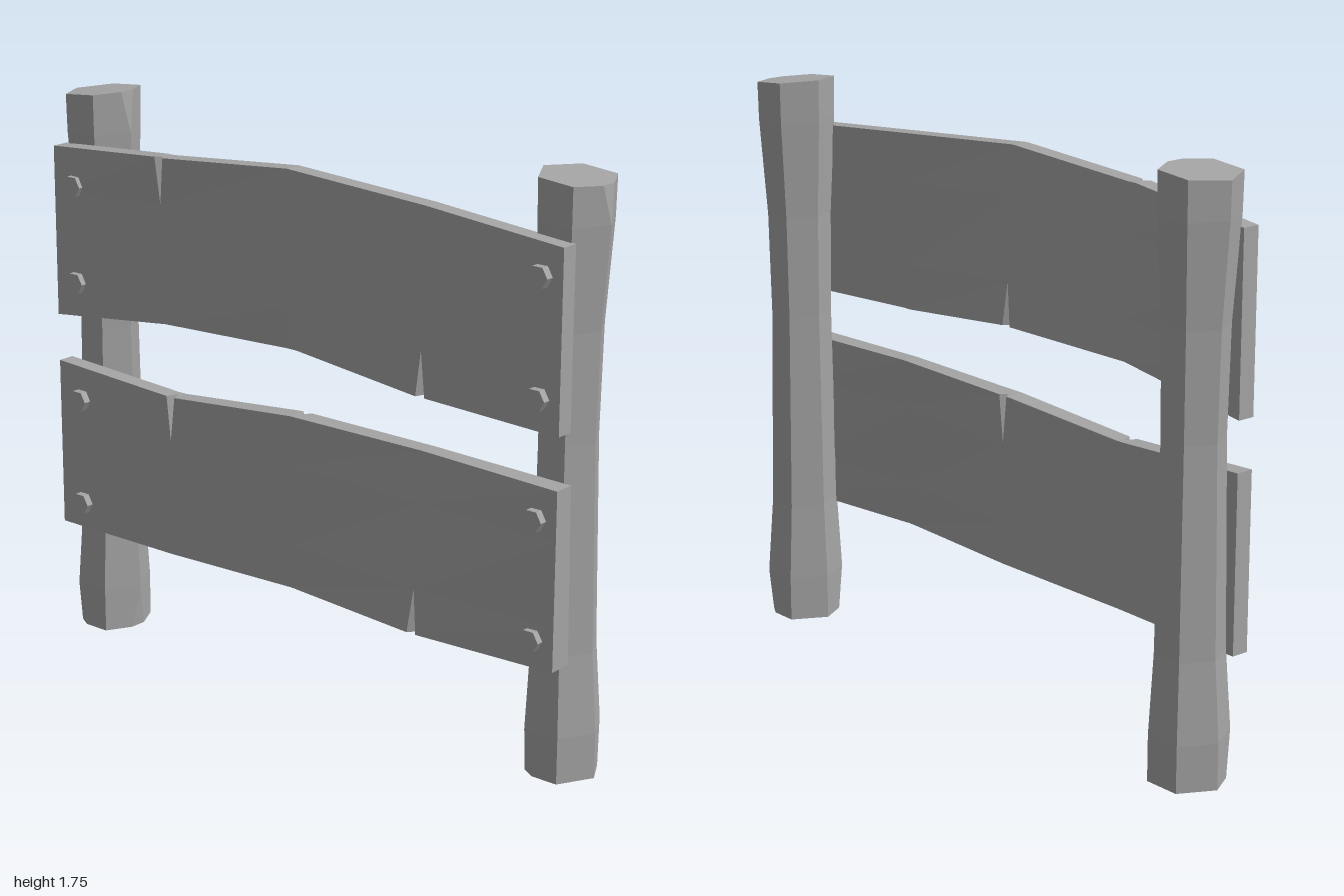
import * as THREE from 'three';

const wood = new THREE.MeshStandardMaterial({ color: 0xa4a4a4 });
wood.name = 'plain grey';

// Flat-shaded geometry from a list of [a, b, c, d] corner loops (or triangles)
function facets(faces) {
  const pos = [];
  const a = new THREE.Vector3(), b = new THREE.Vector3();
  const tri = (p, q, r) => {
    a.subVectors(q, p);
    b.subVectors(r, p);
    if (a.cross(b).length() > 1e-7) for (const v of [p, q, r]) pos.push(v.x, v.y, v.z);
  };
  for (const f of faces) {
    tri(f[0], f[1], f[2]);
    if (f[3]) tri(f[0], f[2], f[3]);
  }
  const g = new THREE.BufferGeometry();
  g.setAttribute('position', new THREE.Float32BufferAttribute(pos, 3));
  g.computeVertexNormals();
  return g;
}

function add(group, name, geometry) {
  const m = new THREE.Mesh(geometry, wood);
  m.name = name;
  group.add(m);
  return m;
}

// Six-sided waisted post; chipped corners are split in two at the end rings
function postGeometry(side, topChips, bottomChips) {
  const levels = [[0, 0.115], [0.14, 0.115], [0.38, 0.1], [1.0, 0.09], [1.32, 0.095], [1.62, 0.113], [1.74, 0.115]];
  const last = levels.length - 1;
  const rings = levels.map(([y, r], k) => {
    const corner = (i) => {
      const t = i * Math.PI / 3;
      const x = Math.cos(t) * r;
      const cx = side * (0.885 - (0.115 - r) * 0.25);
      return new THREE.Vector3(cx + x, k === last ? y - side * x * 0.09 : y, -0.045 + Math.sin(t) * r * 1.05);
    };
    const chips = k === 0 ? bottomChips : k === last ? topChips : [];
    const ring = [];
    for (let i = 0; i < 6; i++) {
      const cut = chips.includes(i) ? 0.25 : 0;
      ring.push(corner(i).lerp(corner(i + 5), cut), corner(i).lerp(corner(i + 1), cut));
    }
    return ring;
  });
  const faces = [];
  const top = rings[last], bottom = rings[0];
  const ct = new THREE.Vector3(side * 0.885, 1.74, -0.045);
  const cb = new THREE.Vector3(side * 0.885, 0, -0.045);
  for (let i = 0; i < 12; i++) {
    const j = (i + 1) % 12;
    for (let k = 0; k < last; k++) faces.push([rings[k][i], rings[k + 1][i], rings[k + 1][j], rings[k][j]]);
    faces.push([ct, top[j], top[i]], [cb, bottom[i], bottom[j]]);
  }
  return facets(faces);
}

// Warped board. Stations: [x, yTop, yBottom, frontTop, frontBottom, backTop, backBottom]
// Cracks: [station index, atTop, onFront, depth of the groove]
function plankGeometry(stations, cracks) {
  const cols = [];
  stations.forEach((s, i) => {
    const inner = i > 0 && i < stations.length - 1;
    for (const o of inner ? [-1, 0, 1] : [0]) cols.push({ s, i, o });
  });
  const rows = [0, 0.25, 0.72, 1];
  const grid = (front) => cols.map(({ s, i, o }) => rows.map((v, r) => {
    const edge = r === 0 || r === 3;
    const here = edge ? cracks.filter((c) => c[0] === i && c[1] === (r === 3)) : [];
    const x = s[0] + (here.length ? o * 0.016 : 0);
    const k = front ? 3 : 5;
    let z = THREE.MathUtils.lerp(s[k + 1], s[k], v);
    for (const c of here) if (o === 0 && c[2] === front) z += front ? -c[3] : c[3];
    return new THREE.Vector3(x, THREE.MathUtils.lerp(s[2], s[1], v), z);
  }));
  const F = grid(true), B = grid(false), n = cols.length - 1, faces = [];
  for (let i = 0; i < n; i++) {
    for (let r = 0; r < 3; r++) {
      faces.push([F[i][r], F[i + 1][r], F[i + 1][r + 1], F[i][r + 1]]);
      faces.push([B[i + 1][r], B[i][r], B[i][r + 1], B[i + 1][r + 1]]);
    }
    faces.push([F[i][3], F[i + 1][3], B[i + 1][3], B[i][3]]);
    faces.push([B[i][0], B[i + 1][0], F[i + 1][0], F[i][0]]);
  }
  for (let r = 0; r < 3; r++) {
    faces.push([B[0][r], F[0][r], F[0][r + 1], B[0][r + 1]]);
    faces.push([F[n][r], B[n][r], B[n][r + 1], F[n][r + 1]]);
  }
  return facets(faces);
}

export function createModel() {
  const model = new THREE.Group();
  model.name = 'plankFence';

  // Posts
  add(model, 'rightPost', postGeometry(-1, [0], [0, 2]));
  add(model, 'leftPost', postGeometry(1, [0], [2, 5]));

  // Planks
  add(model, 'upperPlank', plankGeometry([
    [-0.955, 1.58, 1.045, 0.105, 0.105, 0.05, 0.05],
    [-0.48, 1.62, 1.105, 0.145, 0.125, 0.09, 0.07],
    [0, 1.655, 1.115, 0.125, 0.105, 0.07, 0.045],
    [0.48, 1.62, 1.07, 0.102, 0.115, 0.048, 0.06],
    [0.95, 1.58, 1.05, 0.105, 0.105, 0.05, 0.05],
  ], [[1, true, true, 0.02], [3, false, true, 0.045], [2, false, false, 0.025]]));
  add(model, 'lowerPlank', plankGeometry([
    [-0.955, 0.895, 0.36, 0.105, 0.105, 0.05, 0.05],
    [-0.48, 0.872, 0.365, 0.11, 0.115, 0.055, 0.055],
    [0, 0.905, 0.375, 0.095, 0.11, 0.033, 0.035],
    [0.48, 0.908, 0.365, 0.1, 0.143, 0.045, 0.075],
    [0.95, 0.895, 0.36, 0.105, 0.105, 0.04, 0.03],
  ], [[1, true, true, 0.04], [3, false, true, 0.02], [2, true, false, 0.025]]));

  // Hexagonal bolt heads
  const bolt = new THREE.CylinderGeometry(0.034, 0.034, 0.04, 6).toNonIndexed();
  bolt.rotateY(Math.PI / 6).rotateX(Math.PI / 2);
  bolt.computeVertexNormals();
  const spots = [
    [-0.86, 1.47], [-0.86, 1.165], [0.882, 1.492], [0.882, 1.148],
    [-0.86, 0.785], [-0.86, 0.445], [0.882, 0.8], [0.882, 0.445],
  ];
  for (const [x, y] of spots) add(model, 'bolt', bolt).position.set(x, y, 0.11);

  return model;
}
